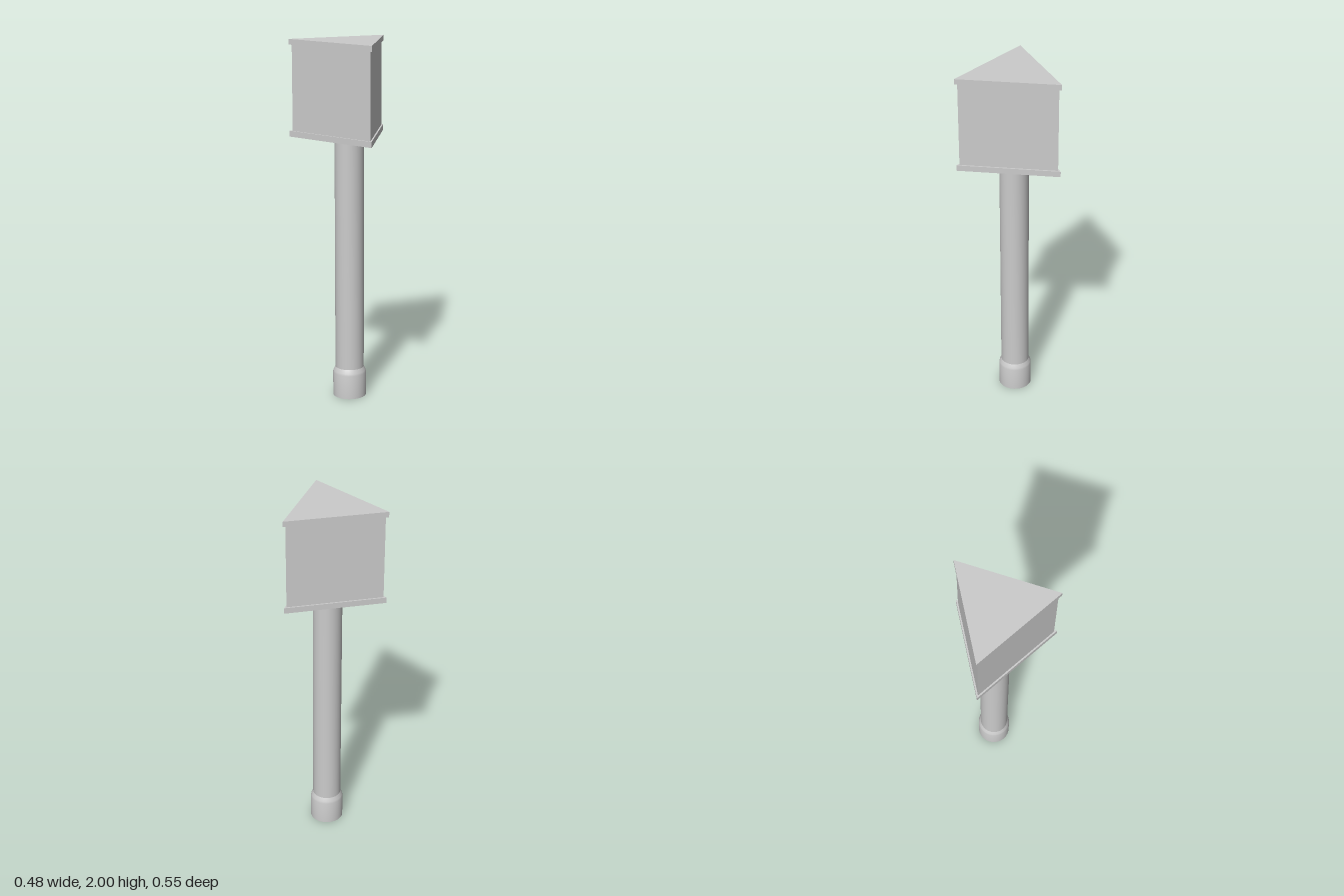
import * as THREE from 'three';
import { toCreasedNormals } from 'three/addons/utils/BufferGeometryUtils.js';

const AXIS_X = -0.08; // centroid of the triangular head
const POST_X = -0.07;

export function createModel() {
  const group = new THREE.Group();
  const smooth = new THREE.MeshStandardMaterial({ color: 0xcccccc });
  const flat = new THREE.MeshStandardMaterial({ color: 0xcccccc, flatShading: true });

  const add = (name, geometry, material, x) => {
    const mesh = new THREE.Mesh(geometry, material);
    mesh.name = name;
    mesh.position.x = x;
    group.add(mesh);
  };

  // Upright triangular prism with one corner pointing to +x
  const prism = (name, radius, y0, y1) => {
    const geometry = new THREE.CylinderGeometry(radius, radius, y1 - y0, 3, 1, false, Math.PI / 2);
    geometry.translate(0, (y0 + y1) / 2, 0);
    add(name, geometry, flat, AXIS_X);
  };

  // Surface of revolution, profile listed from bottom to top
  const turned = (name, profile) => {
    const points = profile.map(([r, y]) => new THREE.Vector2(r, y));
    const geometry = toCreasedNormals(new THREE.LatheGeometry(points, 32), Math.PI / 4);
    add(name, geometry, smooth, POST_X);
  };

  // Post with a wider foot sleeve
  turned('footSleeve', [[0, 0], [0.093, 0], [0.093, 0.135], [0.09, 0.147], [0.08, 0.168]]);
  turned('post', [[0.08, 0.16], [0.08, 1.48]]);

  // Three-sided head between two overhanging plates
  prism('bottomPlate', 0.32, 1.472, 1.504);
  prism('headBody', 0.303, 1.504, 1.97);
  prism('topPlate', 0.32, 1.97, 2);

  return group;
}
